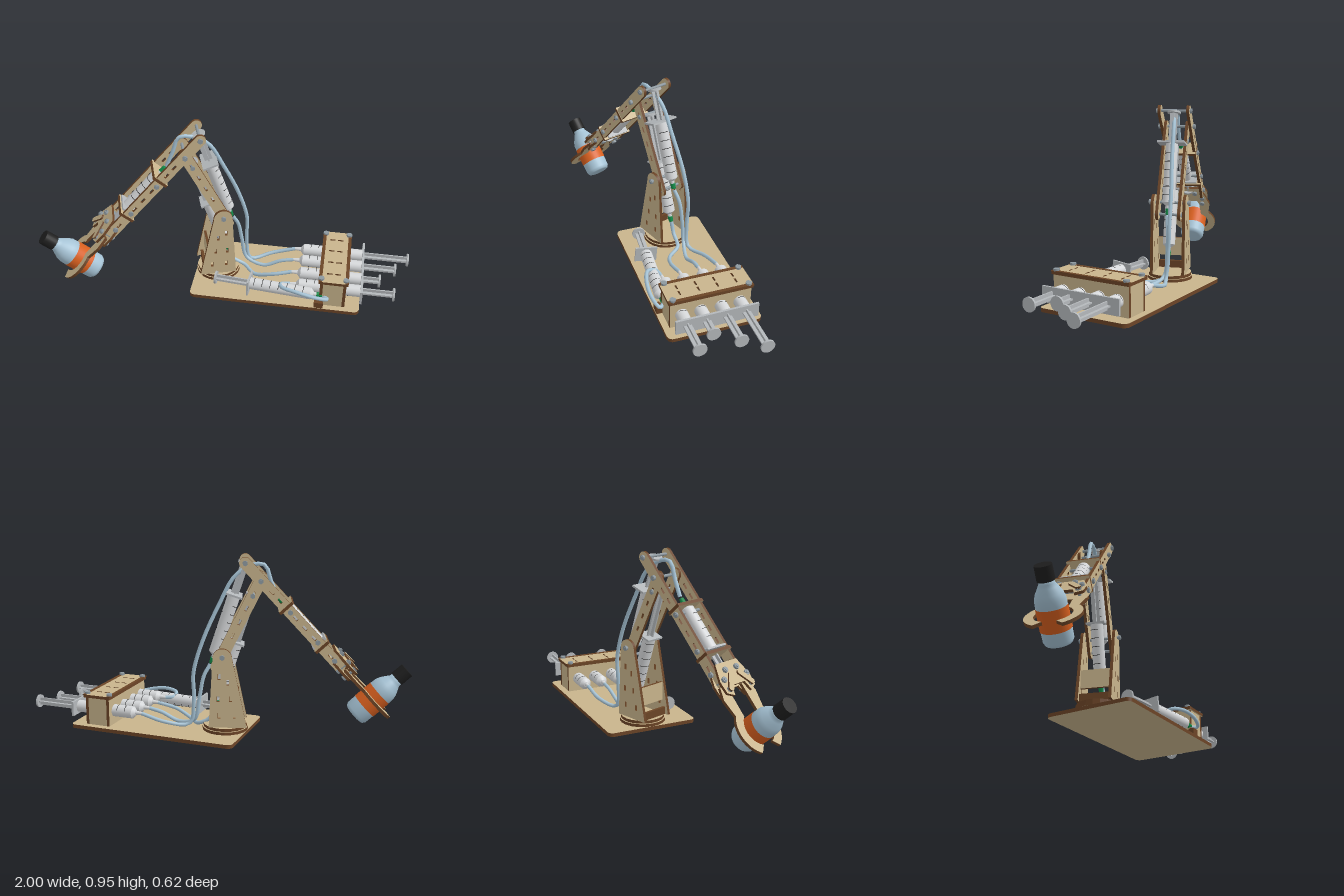
import * as THREE from 'three';

const mat = (name, color) => Object.assign(new THREE.MeshStandardMaterial({ color }), { name });
const wood = mat('plywood', 0xc8b48c), edge = mat('burnt plywood edge', 0x6b4426);
const white = mat('syringe barrel', 0xd6d8da), grey = mat('plunger grey', 0xb4b8bb);
const blue = mat('pale blue', 0xa6c3d5), orange = mat('orange label', 0xd9601f);
const black = mat('black', 0x1e1e1e), green = mat('green fitting', 0x128a48);
const steel = mat('steel', 0x8d989f);
const V = (x, y, z = 0) => new THREE.Vector3(x, y, z);

function add(parent, name, geo, material, x = 0, y = 0, z = 0) {
  const m = new THREE.Mesh(geo, material);
  m.name = name;
  m.position.set(x, y, z);
  parent.add(m);
  return m;
}
const cyl = (r, h, r2 = r, n = 20) => new THREE.CylinderGeometry(r, r2, h, n);
const box = (x, y, z) => new THREE.BoxGeometry(x, y, z);

// Plywood sheet: tan faces, dark cut edges, centred on its thickness
function plate(parent, name, shape, t, x = 0, y = 0, z = 0) {
  const g = new THREE.ExtrudeGeometry(shape, { depth: t, bevelEnabled: false, curveSegments: 10 });
  g.translate(0, 0, -t / 2);
  return add(parent, name, g, [wood, edge], x, y, z);
}
function roundRect(w, h, r, C = THREE.Shape) {
  const s = new C(), a = w / 2 - r, b = h / 2 - r, q = Math.PI / 2;
  s.absarc(a, b, r, 0, q).absarc(-a, b, r, q, 2 * q).absarc(-a, -b, r, 2 * q, 3 * q).absarc(a, -b, r, 3 * q, 4 * q);
  s.closePath();
  return s;
}
function slot(shape, x, y, w, h) {
  const p = new THREE.Path();
  p.moveTo(x - w / 2, y - h / 2).lineTo(x - w / 2, y + h / 2).lineTo(x + w / 2, y + h / 2).lineTo(x + w / 2, y - h / 2);
  p.closePath();
  shape.holes.push(p);
}
// Round-ended bar along +x with a row of slots
function bar(L, r, slots) {
  const s = new THREE.Shape(), q = Math.PI / 2;
  s.absarc(0, 0, r, q, 3 * q).absarc(L, 0, r, -q, q);
  s.closePath();
  slots.forEach(x => slot(s, x, 0, 0.03, 0.012));
  return s;
}
// Threaded rod across the arm with a nut at each end
function rod(parent, x, y, w) {
  add(parent, 'rod', cyl(0.008, 2 * w, 0.008, 10), steel, x, y, 0).rotation.x = Math.PI / 2;
  for (const s of [-1, 1]) add(parent, 'nut', cyl(0.014, 0.012, 0.014, 6), steel, x, y, s * (w - 0.008)).rotation.x = Math.PI / 2;
}
// Syringe from the nozzle end of its barrel (a) to the thumb disc (b)
function syringe(parent, name, a, b, barrel, { flange = 0.13, fitting = null } = {}) {
  const g = new THREE.Group(), r = 0.033, d = b.clone().sub(a), L = d.length();
  g.name = name;
  g.position.copy(a);
  g.quaternion.setFromUnitVectors(V(0, 1, 0), d.normalize());
  parent.add(g);
  add(g, 'barrel', cyl(r, barrel, r, 24), white, 0, barrel / 2);
  add(g, 'shoulderCone', cyl(r, 0.016, 0.014, 24), white, 0, -0.008);
  add(g, 'nozzle', cyl(0.012, 0.04, 0.008, 12), white, 0, -0.034);
  if (fitting) add(g, 'fitting', cyl(0.014, 0.03, 0.012, 12), fitting, 0, -0.048);
  if (flange) add(g, 'flange', box(0.085, 0.01, flange), grey, 0, barrel);
  for (const t of [0, Math.PI / 2]) {
    add(g, 'plungerRib', box(0.042, L - barrel, 0.008), grey, 0, (L + barrel) / 2).rotation.y = t;
  }
  add(g, 'thumbDisc', cyl(0.036, 0.01, 0.036, 24), grey, 0, L - 0.005);
  for (let y = 0.04; y < barrel - 0.03; y += 0.045) {
    for (const t of [0.3, 0.3 + Math.PI]) {
      add(g, 'scaleMark', new THREE.CylinderGeometry(r + 0.0008, r + 0.0008, 0.003, 12, 1, true, t, 1.7), black, 0, y);
    }
  }
  return g;
}
function tube(parent, pts) {
  const c = new THREE.CatmullRomCurve3(pts.map(p => V(...p)));
  add(parent, 'hose', new THREE.TubeGeometry(c, 48, 0.0105, 8), blue);
}

function buildBase(root) {
  plate(root, 'basePlate', roundRect(0.93, 0.5, 0.03), 0.02, 0.269, 0.01, -0.067).rotation.x = -Math.PI / 2;
  // Control box
  const b = new THREE.Group();
  b.name = 'controlBox';
  b.position.set(0.585, 0, -0.065);
  root.add(b);
  for (const s of [-1, 1]) {
    plate(b, 'longPanel', roundRect(0.43, 0.152, 0.001), 0.016, s * 0.062, 0.096, 0).rotation.y = Math.PI / 2;
    plate(b, 'endPanel', roundRect(0.108, 0.152, 0.001), 0.016, 0, 0.096, s * 0.207);
    add(b, 'lidRail', box(0.018, 0.006, 0.448), edge, s * 0.071, 0.187, 0);
    for (const e of [-1, 1]) add(b, 'lidBolt', cyl(0.016, 0.012, 0.016, 8), steel, s * 0.066, 0.194, e * 0.2);
  }
  const lid = roundRect(0.16, 0.448, 0.006);
  for (const y of [-0.15, -0.05, 0.05, 0.15]) for (const x of [-0.025, 0.02]) slot(lid, x, y, 0.03, 0.01);
  plate(b, 'lid', lid, 0.016, 0, 0.18, 0).rotation.x = -Math.PI / 2;
  // Four control syringes and their shared flange
  [[0.09, 0.915], [-0.01, 0.838], [-0.118, 0.922], [-0.219, 0.993]].forEach(([z, end]) =>
    syringe(root, 'controlSyringe', V(0.4, 0.095, z), V(end, 0.095, z), 0.335, { flange: 0 }));
  add(root, 'flangePlate', box(0.012, 0.08, 0.436), grey, 0.738, 0.095, -0.067);
  // Slewing syringe and its mount
  syringe(root, 'slewSyringe', V(0.468, 0.08, 0.136), V(-0.065, 0.08, 0.088), 0.34, { flange: 0.12, fitting: green });
  add(root, 'syringeMount', box(0.05, 0.035, 0.03), edge, 0.515, 0.037, 0.165);
  // Hoses
  tube(root, [[0.35, 0.095, -0.01], [0.24, 0.07, 0], [0.14, 0.035, -0.03], [0.07, 0.04, -0.1], [0, 0.08, -0.1], [-0.02, 0.15, -0.093]]);
  tube(root, [[0, 0.375, -0.1], [0.03, 0.31, -0.12], [0.05, 0.2, -0.13], [0.08, 0.07, -0.13], [0.18, 0.04, -0.11], [0.28, 0.08, -0.115], [0.35, 0.095, -0.118]]);
  tube(root, [[0.35, 0.095, -0.219], [0.22, 0.06, -0.205], [0.1, 0.05, -0.15], [0.075, 0.2, -0.15], [0.075, 0.33, -0.155],
    [0.03, 0.5, -0.14], [-0.05, 0.7, -0.1], [-0.12, 0.84, -0.07], [-0.2, 0.9, -0.03], [-0.265, 0.9, -0.01], [-0.295, 0.82, 0], [-0.33, 0.735, 0.011]]);
  tube(root, [[0.535, 0.075, 0.143], [0.56, 0.08, 0.17], [0.5, 0.1, 0.192], [0.39, 0.12, 0.185], [0.31, 0.115, 0.15], [0.305, 0.1, 0.105], [0.35, 0.095, 0.09]]);
}

function buildTower(arm) {
  const disc = r => new THREE.Shape().absarc(0, 0, r, 0, Math.PI * 2);
  plate(arm, 'turntableLower', disc(0.122), 0.016, 0, 0.029, 0).rotation.x = -Math.PI / 2;
  plate(arm, 'turntableUpper', disc(0.116), 0.016, 0, 0.046, 0).rotation.x = -Math.PI / 2;
  const s = new THREE.Shape();
  s.moveTo(-0.115, 0.054).lineTo(0.085, 0.054).lineTo(0.064, 0.428).absarc(0.014, 0.428, 0.05, 0, Math.PI).closePath();
  for (const [x, y] of [[-0.05, 0.12], [0.03, 0.12], [-0.03, 0.21], [0.035, 0.21], [-0.015, 0.3], [0.03, 0.33]]) slot(s, x, y, 0.014, 0.03);
  for (const z of [-1, 1]) plate(arm, 'towerSide', s, 0.016, 0, 0, z * 0.086);
  add(arm, 'towerFoot', box(0.016, 0.04, 0.16), edge, -0.085, 0.074, 0);
  const brace = plate(arm, 'towerBrace', roundRect(0.16, 0.1, 0.001), 0.014, -0.065, 0.18, 0);
  brace.rotation.set(0, Math.PI / 2, 0);
  rod(arm, 0.014, 0.435, 0.115);
  // Upper arm
  const p = V(-0.18, 0.83), q = V(0.045, 0.375), L = p.distanceTo(q);
  for (const z of [-1, 1]) {
    plate(arm, 'upperArm', bar(L, 0.031, [0.08, 0.16, 0.24, 0.32]), 0.016, p.x, p.y, z * 0.06).rotation.z = Math.atan2(q.y - p.y, q.x - p.x);
  }
  rod(arm, -0.18, 0.83, 0.105);
  rod(arm, -0.14, 0.75, 0.075);
  rod(arm, 0.045, 0.375, 0.075);
  syringe(arm, 'shoulderSyringe', V(0.035, 0.21), V(-0.14, 0.75), 0.3, { flange: 0.1, fitting: green });
  syringe(arm, 'elbowSyringe', V(0.055, 0.44), V(-0.1, 0.915), 0.325, { flange: 0.15, fitting: green });
}

function buildForearm(arm) {
  // Local x runs from the elbow end to the gripper
  const f = new THREE.Group(), L = 0.72;
  f.name = 'forearm';
  f.position.set(-0.1, 0.92, 0);
  f.rotation.z = Math.atan2(-0.53, -0.49);
  arm.add(f);
  for (const z of [-1, 1]) plate(f, 'forearmSide', bar(L, 0.03, [0.2, 0.26, 0.38, 0.45, 0.52, 0.65]), 0.016, 0, 0, z * 0.079);
  for (const x of [0.31, 0.585]) plate(f, 'crossPlate', roundRect(0.176, 0.088, 0.004), 0.016, x, 0, 0).rotation.y = Math.PI / 2;
  for (const x of [0, 0.34, 0.55, 0.68]) rod(f, x, 0, 0.1);
  syringe(f, 'gripSyringe', V(0.325, 0), V(0.685, 0), 0.24, { flange: 0.13, fitting: green });

  // Gripper: local x across, y forward, z down towards the bottle base
  const g = new THREE.Group();
  g.name = 'gripper';
  g.quaternion.setFromRotationMatrix(new THREE.Matrix4().makeBasis(V(0, 0, 1), V(1, 0, 0), V(0, 1, 0)));
  g.position.set(L, 0, 0);
  f.add(g);
  const palm = new THREE.Shape([[-0.075, -0.07], [0.075, -0.07], [0.105, 0.02], [0.1, 0.08], [0.06, 0.1], [0.045, 0.05],
    [-0.045, 0.05], [-0.06, 0.1], [-0.1, 0.08], [-0.105, 0.02]].map(p => new THREE.Vector2(...p)));
  for (const z of [-0.035, 0.012]) plate(g, 'palm', palm, 0.014, 0, 0, z);
  const jaw = new THREE.Shape();
  jaw.moveTo(0.05, 0.045).lineTo(0.095, 0.035).lineTo(0.115, 0.1).absarc(0, 0.274, 0.132, -0.72, 1.05)
    .absarc(0, 0.274, 0.088, 1.2, -0.95, true).closePath();
  for (const s of [-1, 1]) {
    plate(g, 'jaw', jaw, 0.016, 0, 0, -0.006).rotation.y = s < 0 ? Math.PI : 0;
    for (const [x, y] of [[0.075, 0.065], [0.08, 0.015], [0.04, -0.03]]) {
      add(g, 'gripperBolt', cyl(0.008, 0.09, 0.008, 10), steel, s * x, y, -0.014).rotation.x = Math.PI / 2;
      for (const z of [-0.049, 0.025]) add(g, 'gripperNut', cyl(0.015, 0.012, 0.015, 6), steel, s * x, y, z).rotation.x = Math.PI / 2;
    }
    const link = plate(g, 'jawLink', bar(0.075, 0.014, []), 0.01, s * 0.075, 0.065, -0.055);
    link.rotation.z = s > 0 ? -2.2 : -0.94;
  }

  // Bottle held across the jaws
  const b = new THREE.Group();
  b.name = 'bottle';
  b.position.set(0, 0.274, 0);
  b.rotation.x = -Math.PI / 2;
  g.add(b);
  const lathe = pts => new THREE.LatheGeometry(pts.map(p => new THREE.Vector2(...p)), 32);
  add(b, 'bottleBody', lathe([[0, -0.125], [0.05, -0.125], [0.062, -0.12], [0.07, -0.105], [0.071, -0.05], [0.071, 0.06],
    [0.07, 0.085], [0.062, 0.11], [0.045, 0.14], [0.036, 0.155], [0.034, 0.18], [0, 0.18]]), blue);
  add(b, 'bottleLabel', new THREE.CylinderGeometry(0.073, 0.073, 0.105, 32, 1, true), orange, 0, 0.0);
  add(b, 'bottleCap', cyl(0.04, 0.07, 0.041, 24), black, 0, 0.203);
}

export function createModel() {
  const root = new THREE.Group();
  root.name = 'syringeRobotArm';
  buildBase(root);
  // Slewing arm, turned on its turntable
  const arm = new THREE.Group();
  arm.name = 'slewingArm';
  arm.position.set(-0.075, 0, -0.075);
  arm.rotation.y = 0.323;
  root.add(arm);
  buildTower(arm);
  buildForearm(arm);
  return root;
}
